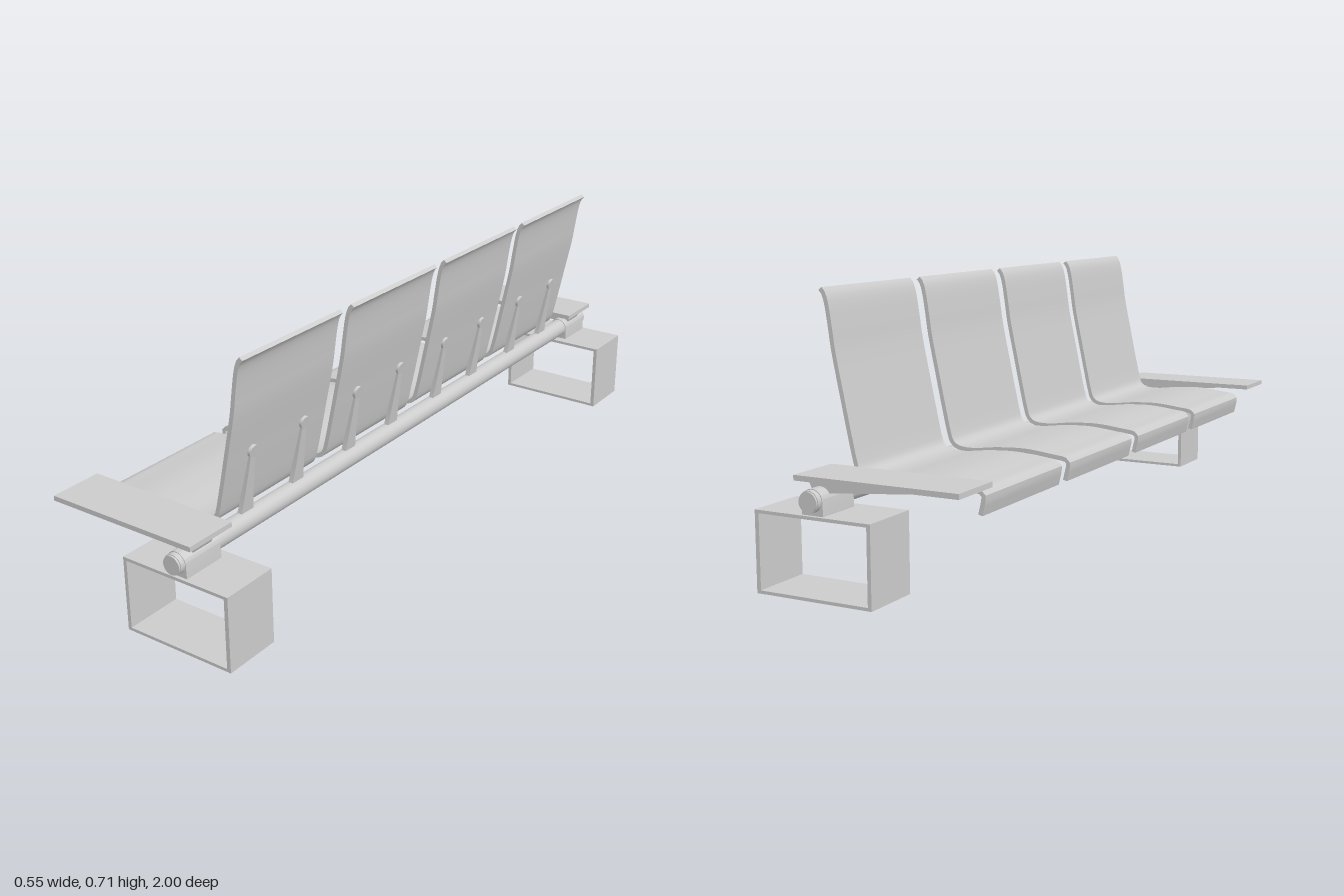
import * as THREE from 'three';
import { toCreasedNormals } from 'three/addons/utils/BufferGeometryUtils.js';

const grey = new THREE.MeshStandardMaterial({ color: 0xcccccc });
const V = (x, y) => new THREE.Vector2(x, y);
const BEAM = { x: 0.115, y: 0.234, r: 0.0265 };

function add(parent, name, geometry, x = 0, y = 0, z = 0) {
  const mesh = new THREE.Mesh(geometry, grey);
  mesh.name = name;
  mesh.position.set(x, y, z);
  parent.add(mesh);
  return mesh;
}

// Extrude an outline in the side plane, centred on z
function slab(shape, width, curveSegments = 10) {
  const g = new THREE.ExtrudeGeometry(shape, { depth: width, bevelEnabled: false, curveSegments });
  g.translate(0, 0, -width / 2);
  return toCreasedNormals(g, 0.6);
}

// Bent sheet outline: a smooth centre line offset to both sides
function sheetShape(points, thickness, divisions) {
  const curve = new THREE.SplineCurve(points.map(p => V(...p)));
  const a = [], b = [];
  for (let i = 0; i <= divisions; i++) {
    const p = curve.getPointAt(i / divisions), t = curve.getTangentAt(i / divisions);
    const n = V(-t.y, t.x).multiplyScalar(thickness / 2);
    a.push(p.clone().add(n));
    b.unshift(p.clone().sub(n));
  }
  return new THREE.Shape([...a, ...b]);
}

const seatLine = [
  [-0.232, 0.205], [-0.238, 0.23], [-0.241, 0.249], [-0.231, 0.259], [-0.2, 0.263],
  [-0.12, 0.271], [-0.04, 0.268], [0.03, 0.26], [0.075, 0.262], [0.098, 0.275],
  [0.108, 0.3], [0.124, 0.37], [0.141, 0.45], [0.162, 0.55], [0.171, 0.61],
  [0.179, 0.66], [0.187, 0.689], [0.197, 0.702],
];

// Flared stem outline of the back support
function stemShape() {
  const s = new THREE.Shape();
  s.moveTo(-0.024, 0);
  s.lineTo(0.024, 0);
  s.quadraticCurveTo(0.015, 0.04, 0.0095, 0.175);
  s.lineTo(-0.0095, 0.175);
  s.quadraticCurveTo(-0.015, 0.04, -0.024, 0);
  return s;
}

export function createModel() {
  const model = new THREE.Group();
  model.name = 'beamBench';

  // Round beam carrying everything, with small end caps
  add(model, 'beam', new THREE.CylinderGeometry(BEAM.r, BEAM.r, 1.99, 32).rotateX(Math.PI / 2), BEAM.x, BEAM.y, 0);
  for (const s of [1, -1]) {
    add(model, 'beamEndCap', new THREE.CylinderGeometry(0.0245, 0.0245, 0.01, 32).rotateX(Math.PI / 2), BEAM.x, BEAM.y, s * 0.995);
  }

  // Four seat shells, each with two back supports
  const shell = slab(sheetShape(seatLine, 0.0115, 72), 0.378);
  const stem = slab(stemShape(), 0.013).rotateY(Math.PI / 2);
  const button = new THREE.CylinderGeometry(0.0165, 0.0165, 0.01, 20).rotateZ(Math.PI / 2);
  for (const z of [0.636, 0.213, -0.211, -0.634]) {
    const seat = new THREE.Group();
    seat.name = 'seat';
    seat.position.z = z;
    model.add(seat);
    add(seat, 'seatShell', shell);
    for (const s of [1, -1]) {
      add(seat, 'backSupport', stem, 0.113, 0.25, s * 0.099).rotation.z = -0.16;
      add(seat, 'supportButton', button, 0.145, 0.428, s * 0.099).rotation.z = -0.21;
    }
  }

  // Open rectangular foot frame
  const frame = new THREE.Shape([V(-0.048, 0), V(0.273, 0), V(0.273, 0.2), V(-0.048, 0.2)]);
  frame.holes.push(new THREE.Path([V(-0.038, 0.008), V(-0.038, 0.192), V(0.262, 0.192), V(0.262, 0.008)]));
  const frameGeo = slab(frame, 0.157);

  // Saddle hugging the lower half of the beam
  const saddle = new THREE.Shape();
  saddle.moveTo(0.085, 0.199);
  saddle.lineTo(0.145, 0.199);
  saddle.lineTo(BEAM.x + 0.0285, BEAM.y);
  saddle.absarc(BEAM.x, BEAM.y, 0.0285, 0, Math.PI, false);
  const saddleGeo = slab(saddle, 0.12);

  // Tapered arm under the side tray
  const arm = new THREE.Shape([
    V(-0.24, 0.279), V(-0.12, 0.267), V(0.092, 0.248), V(0.1, 0.235), V(0.13, 0.235), V(0.15, 0.279),
  ]);
  const armGeo = slab(arm, 0.064);

  for (const s of [1, -1]) {
    const end = new THREE.Group();
    end.name = s > 0 ? 'leftEnd' : 'rightEnd';
    model.add(end);
    add(end, 'footFrame', frameGeo, 0, 0, s * 0.9125);
    add(end, 'beamSaddle', saddleGeo, 0, 0, s * 0.922);
    add(end, 'trayArm', armGeo, 0, 0, s * 0.918);
    add(end, 'sideTray', new THREE.BoxGeometry(0.438, 0.013, 0.145), -0.056, 0.2845, s * 0.9135);
  }
  return model;
}
